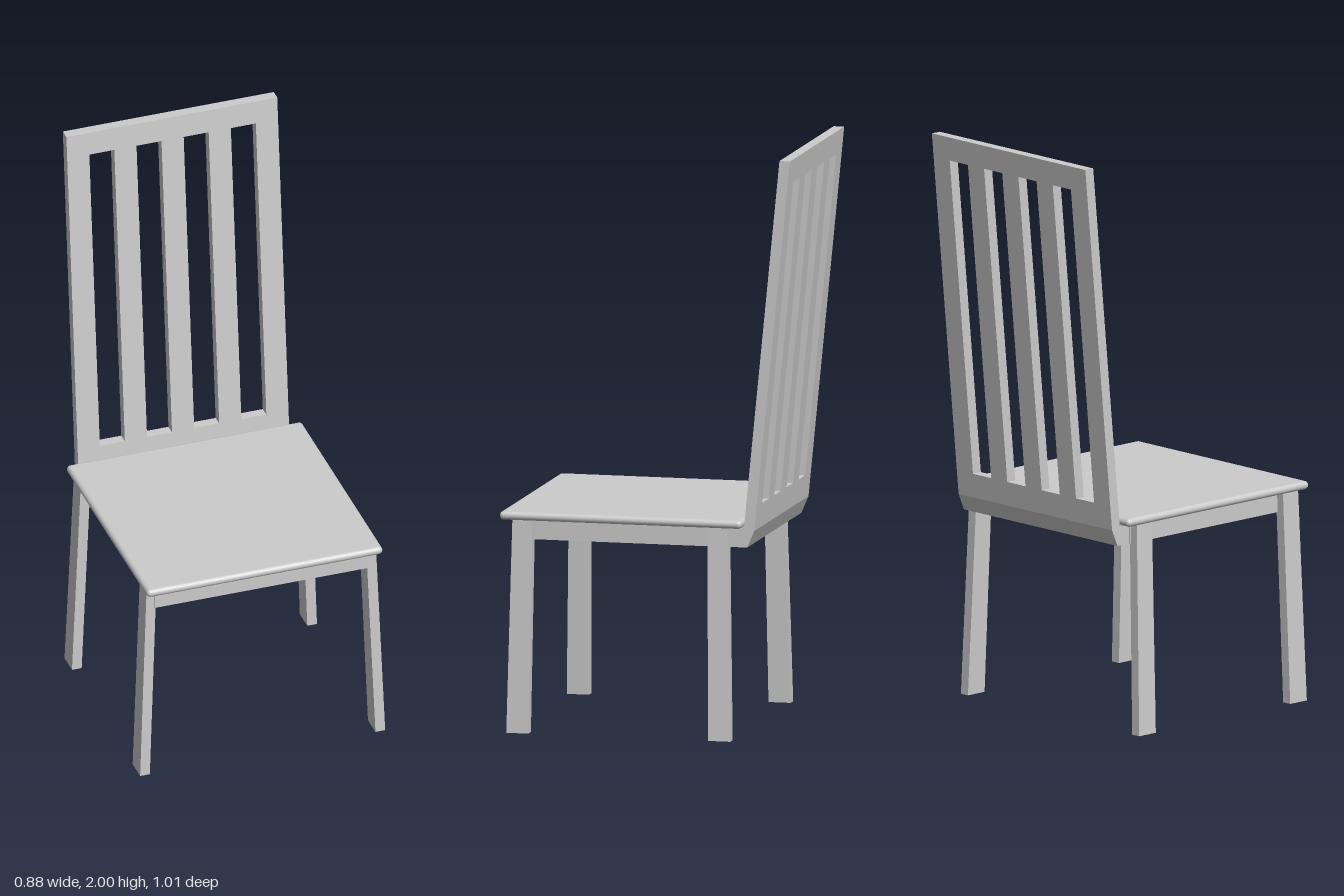
import * as THREE from 'three';
import { RoundedBoxGeometry } from 'three/addons/geometries/RoundedBoxGeometry.js';

const material = new THREE.MeshStandardMaterial({ color: 0xcccccc });

function add(parent, name, geometry, x = 0, y = 0, z = 0) {
  const mesh = new THREE.Mesh(geometry, material);
  mesh.name = name;
  mesh.position.set(x, y, z);
  parent.add(mesh);
  return mesh;
}

// Move every vertex by a rule, then refresh the normals
function reshape(geometry, rule) {
  const p = geometry.attributes.position;
  const v = new THREE.Vector3();
  for (let i = 0; i < p.count; i++) {
    rule(v.fromBufferAttribute(p, i));
    p.setXYZ(i, v.x, v.y, v.z);
  }
  geometry.computeVertexNormals();
  return geometry;
}

// Splayed, slightly tapered leg from y = 0 up to the seat
function legGeometry(side, topZ, bottomZ) {
  const height = 0.735;
  const geometry = new THREE.BoxGeometry(0.035, height, 1);
  return reshape(geometry, (v) => {
    const t = v.y / height + 0.5;
    v.x += side * THREE.MathUtils.lerp(0.424, 0.396, t);
    v.y += height / 2;
    v.z = v.z * THREE.MathUtils.lerp(0.078, 0.071, t) + THREE.MathUtils.lerp(bottomZ, topZ, t);
  });
}

// Slotted back panel, leaning backwards
function backPanelGeometry() {
  const halfWidth = 0.38, bottom = 0.72, top = 2;
  const shape = new THREE.Shape();
  shape.moveTo(-halfWidth, bottom);
  shape.lineTo(halfWidth, bottom);
  shape.lineTo(halfWidth, top);
  shape.lineTo(-halfWidth, top);
  shape.closePath();
  for (const x of [-0.255, -0.085, 0.085, 0.255]) {
    const slot = new THREE.Path();
    slot.moveTo(x - 0.045, 0.805);
    slot.lineTo(x - 0.045, 1.917);
    slot.lineTo(x + 0.045, 1.917);
    slot.lineTo(x + 0.045, 0.805);
    slot.closePath();
    shape.holes.push(slot);
  }
  const geometry = new THREE.ExtrudeGeometry(shape, { depth: 0.037, bevelEnabled: false });
  return reshape(geometry, (v) => {
    v.z += -0.38 - 0.098 * (v.y - bottom);
  });
}

// Foot of the back, bending forward under the seat
function backFootGeometry() {
  const points = [[0.295, 0.662], [0.355, 0.662], [0.38, 0.72], [0.343, 0.72], [0.343, 0.738], [0.295, 0.738]];
  const shape = new THREE.Shape(points.map(([x, y]) => new THREE.Vector2(x, y)));
  const geometry = new THREE.ExtrudeGeometry(shape, { depth: 0.76, bevelEnabled: false });
  // Profile x becomes -z, extrusion runs across the chair
  geometry.translate(0, 0, -0.38);
  geometry.rotateY(Math.PI / 2);
  return geometry;
}

export function createModel() {
  const chair = new THREE.Group();
  chair.name = 'chair';

  // Seat with a rounded rim
  add(chair, 'seat', new RoundedBoxGeometry(0.85, 0.029, 0.85, 4, 0.0144), 0, 0.745, 0.08);

  // Apron frame, open underneath
  const apron = new THREE.Group();
  apron.name = 'apron';
  chair.add(apron);
  const apronY = 0.7, apronHeight = 0.076, thickness = 0.02;
  add(apron, 'frontApron', new THREE.BoxGeometry(0.77, apronHeight, thickness), 0, apronY, 0.455);
  for (const side of [-1, 1]) {
    add(apron, side > 0 ? 'leftApron' : 'rightApron',
      new THREE.BoxGeometry(thickness, apronHeight, 0.745), side * 0.375, apronY, 0.0725);
  }

  // Four legs
  for (const side of [-1, 1]) {
    const hand = side > 0 ? 'Left' : 'Right';
    add(chair, 'front' + hand + 'Leg', legGeometry(side, 0.425, 0.436));
    add(chair, 'back' + hand + 'Leg', legGeometry(side, -0.26, -0.272));
  }

  // Back
  const back = new THREE.Group();
  back.name = 'back';
  chair.add(back);
  add(back, 'backPanel', backPanelGeometry());
  add(back, 'backFoot', backFootGeometry());

  return chair;
}
